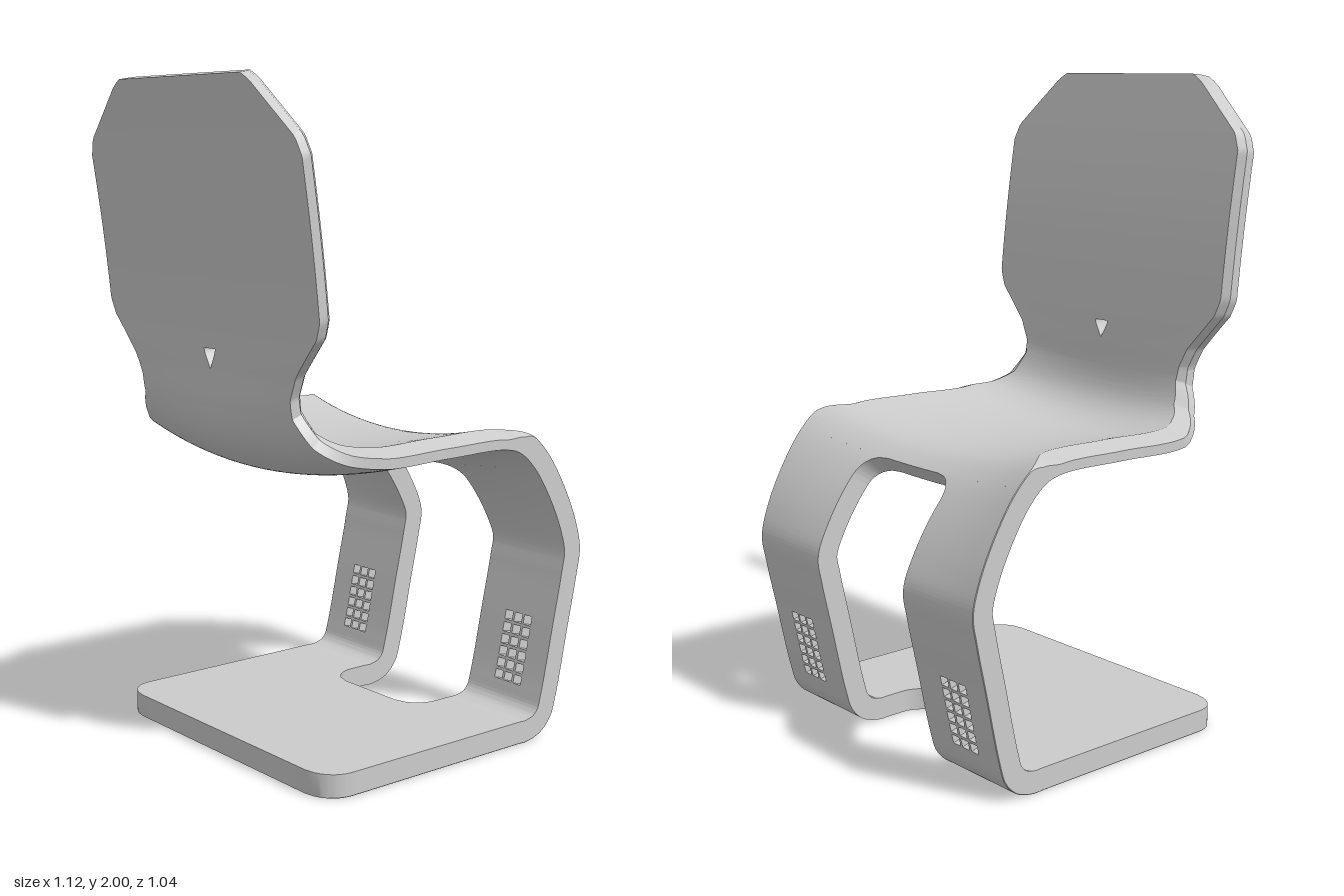
import * as THREE from 'three';
import { mergeGeometries, toCreasedNormals } from 'three/addons/utils/BufferGeometryUtils.js';

const { lerp, smoothstep } = THREE.MathUtils;

// Side profile of the sitting face, from backrest top round to the base rear
const PATH = [
  [-0.515, 2], [-0.478, 1.78], [-0.444, 1.55], [-0.418, 1.32], [-0.407, 1.17], [-0.388, 1.08],
  [-0.34, 1.005], [-0.25, 0.97], [0, 0.97], [0.23, 0.97], [0.31, 0.95], [0.385, 0.895],
  [0.46, 0.8], [0.53, 0.67], [0.558, 0.575], [0.545, 0.49], [0.512, 0.34], [0.464, 0.125],
  [0.442, 0.06], [0.4, 0.018], [0.34, 0], [0.3, 0], [0.15, 0], [-0.345, 0], [-0.445, 0],
];
const LAST = PATH.length - 1;
const SEAT_REAR = 7, OPEN_TOP = 11, BASE_START = 21, OPEN_END = 22, CORNER = 23;
const curve = new THREE.CatmullRomCurve3(PATH.map(([x, y]) => new THREE.Vector3(x, y, 0)));
const point = t => curve.getPoint(Math.min(1, Math.max(0, t / LAST)));

// Backrest outline: height, half width
const OUTLINE = [
  [2, 0.3], [1.98, 0.335], [1.83, 0.5], [1.78, 0.52], [1.34, 0.52], [1.29, 0.5],
  [1.18, 0.4], [1.12, 0.37], [1.08, 0.37], [1.02, 0.415], [0.985, 0.48], [0.97, 0.52],
];
function width(t) {
  if (t > CORNER) return 0.42 + 0.1 * Math.sqrt(Math.max(0, 1 - (t - CORNER) ** 2));
  if (t >= SEAT_REAR) return 0.52;
  const y = point(t).y;
  const i = Math.max(1, OUTLINE.findIndex(([h]) => h <= y));
  const [y0, w0] = OUTLINE[i - 1], [y1, w1] = OUTLINE[i];
  return lerp(w0, w1, (y0 - y) / (y0 - y1));
}

// Dish of the seat, sheet thickness and edge chamfer along the profile
const sagAt = t => 0.055 * smoothstep(t, 3.5, 7) * (1 - smoothstep(t, 9.5, 14.5));
const thickAt = t => 0.05 + 0.02 * smoothstep(t, 4, 7);
const chamferAt = t => t < 8
  ? lerp(0.02, 0.07, smoothstep(t, 4.5, 7))
  : lerp(0.07, 0.002, smoothstep(t, 9, 10.5));

// Position where the falling profile reaches a height
function atHeight(y, a, b) {
  for (let i = 0; i < 40; i++) {
    const m = (a + b) / 2;
    if (point(m).y > y) a = m; else b = m;
  }
  return a;
}

// Half width of the opening between the legs, with rounded corners
function opening(t) {
  const k = Math.min(1, (t - OPEN_TOP) / 0.8, (OPEN_END - t) / 0.55);
  return 0.12 + 0.09 * Math.sqrt(Math.max(0, 1 - (1 - k) ** 2));
}

// Cross-section loop: sitting side from lo to hi, then back along the underside
function section(t, lo, hi, m) {
  const p = point(t), d = point(t + 0.01).sub(point(t - 0.01)).normalize();
  const w = width(t), sag = sagAt(t), thick = thickAt(t), c = chamferAt(t);
  const drop = Math.min(c, 0.02 + 0.4 * Math.max(0, c - 0.02));
  const outerLo = lo < -w + 1e-6, outerHi = hi > w - 1e-6;
  const a = outerLo ? lo + c : lo, b = outerHi ? hi - c : hi;
  const zs = outerLo ? [lo] : [];
  for (let j = 0; j <= m; j++) zs.push(a + (b - a) * j / m);
  if (outerHi) zs.push(hi);
  const place = (z, o) => [p.x - d.y * o, p.y + d.x * o, z];
  const dish = z => -sag * (1 - (z / 0.45) ** 2);
  const top = zs.map(z => place(z, dish(z) - drop * Math.max(0, (Math.abs(z) - w + c) / c)));
  const under = zs.map(z => place(z, dish(z) - thick));
  return [...top, ...under.reverse()];
}

// Solid strip of the bent sheet between positions t0 and t1
function strip(t0, t1, lo, hi, m, capStart = false, capEnd = false) {
  const ts = [t0];
  for (let i = Math.floor(t0 * 16); i / 16 < t1 - 1e-4; i++) if (i / 16 > t0 + 1e-4) ts.push(i / 16);
  ts.push(t1);
  const rows = ts.map(t => section(t, lo(t), hi(t), m));
  const pos = [], n = rows[0].length;
  const quad = (a, b, c, d) => pos.push(...a, ...b, ...c, ...a, ...c, ...d);
  for (let i = 0; i < rows.length - 1; i++)
    for (let j = 0; j < n; j++) {
      const k = (j + 1) % n;
      quad(rows[i][j], rows[i][k], rows[i + 1][k], rows[i + 1][j]);
    }
  const cap = (r, flip) => {
    for (let j = 0; j < n / 2 - 1; j++) {
      const q = [r[j], r[n - 1 - j], r[n - 2 - j], r[j + 1]];
      quad(...(flip ? q.reverse() : q));
    }
  };
  if (capStart) cap(rows[0], false);
  if (capEnd) cap(rows[rows.length - 1], true);
  const g = new THREE.BufferGeometry();
  g.setAttribute('position', new THREE.Float32BufferAttribute(pos, 3));
  return g;
}

// The same strip on both sides of the middle
function pair(t0, t1, inner, outer, m, capStart, capEnd) {
  return [
    strip(t0, t1, inner, outer, m, capStart, capEnd),
    strip(t0, t1, t => -outer(t), t => -inner(t), m, capStart, capEnd),
  ];
}
const full = (t0, t1, a, b) => strip(t0, t1, t => -width(t), width, 18, a, b);
const fixed = v => () => v;

export function createModel() {
  const group = new THREE.Group();
  const material = new THREE.MeshStandardMaterial({ color: 0xcccccc });
  const add = (name, parts) => {
    const mesh = new THREE.Mesh(toCreasedNormals(mergeGeometries(parts), 0.42), material);
    mesh.name = name;
    group.add(mesh);
  };

  // Backrest with a small triangular hole, running on into the seat
  const h0 = atHeight(1.225, 3, 5), h1 = atHeight(1.17, 3, 5);
  const triangle = t => 0.027 * Math.min(1, 1.15 * (h1 - t) / (h1 - h0));
  const shell = [
    full(0, h0, true, true),
    ...pair(h0, h1, triangle, width, 9),
    full(h1, OPEN_TOP, false, true),
  ];

  // Legs, each with a grid of square holes
  const gridTop = 0.34, gridLow = 0.125, rowCount = 6, columnCount = 3, bar = 0.009;
  const zIn = 0.318, zOut = 0.43;
  const legT = y => atHeight(y, 14, 19);
  const g0 = legT(gridTop), g1 = legT(gridLow);
  shell.push(
    ...pair(OPEN_TOP, g0, opening, width, 6, false, true),
    ...pair(g0, g1, opening, fixed(zIn), 2),
    ...pair(g0, g1, fixed(zOut), width, 2),
    ...pair(g1, BASE_START, opening, width, 6, true, false),
  );
  const hole = (zOut - zIn - bar * (columnCount - 1)) / columnCount;
  const pitch = (gridTop - gridLow + bar) / rowCount;
  for (let c = 0; c < columnCount; c++) {
    const z = zIn + c * (hole + bar);
    if (c) shell.push(...pair(g0, g1, fixed(z - bar), fixed(z), 1));
    for (let r = 1; r < rowCount; r++) {
      const y = gridTop - r * pitch + bar;
      shell.push(...pair(legT(y), legT(y - bar), fixed(z), fixed(z + hole), 1, true, true));
    }
  }
  add('seatShell', shell);

  // Flat base, notched by the end of the opening
  add('base', [
    ...pair(BASE_START, OPEN_END, opening, width, 6),
    full(OPEN_END, LAST, true, true),
  ]);
  return group;
}
